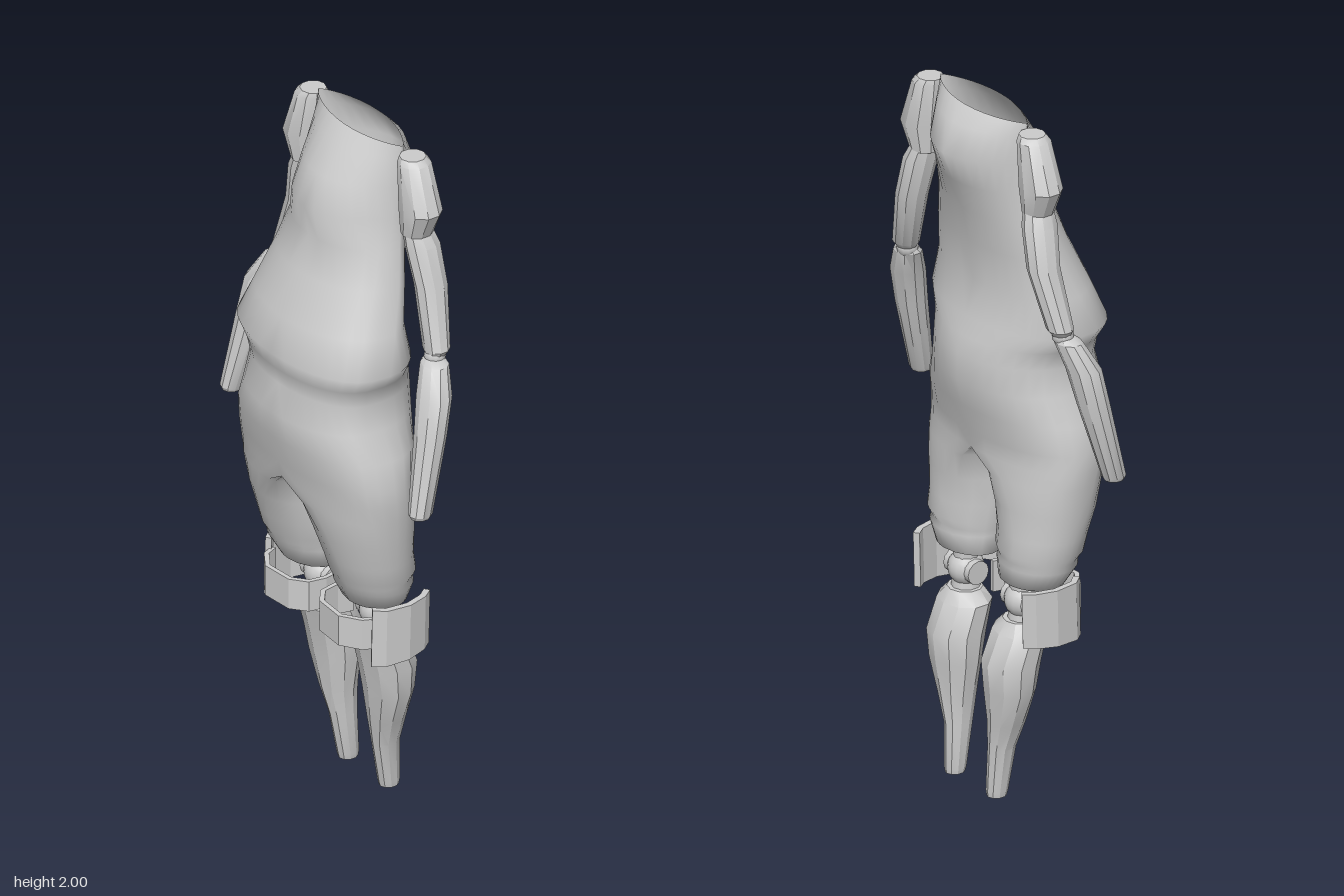
import * as THREE from 'three';
import { mergeVertices, mergeGeometries, toCreasedNormals } from 'three/addons/utils/BufferGeometryUtils.js';

const grey = new THREE.MeshStandardMaterial({ color: 0xcccccc, side: THREE.DoubleSide });

function addMesh(parent, name, geometry) {
  const mesh = new THREE.Mesh(geometry, grey);
  mesh.name = name;
  parent.add(mesh);
  return mesh;
}

// Skins rows of points; s = -1 mirrors across x = 0
function skin(rows, s, wrap, index = []) {
  const n = rows[0].length;
  const quads = wrap ? n : n - 1;
  for (let i = 0; i < rows.length - 1; i++) {
    for (let j = 0; j < quads; j++) {
      const k = (j + 1) % n;
      const [a, b, c, d] = [i * n + j, (i + 1) * n + j, (i + 1) * n + k, i * n + k];
      index.push(...(s > 0 ? [a, b, c, a, c, d] : [a, c, b, a, d, c]));
    }
  }
  const g = new THREE.BufferGeometry();
  g.setAttribute('position', new THREE.Float32BufferAttribute(rows.flat().flatMap(([x, y, z]) => [x * s, y, z]), 3));
  g.setIndex(index);
  return g;
}

// Low-poly closed limb from rings [x, y, z, radiusX, radiusZ], top to bottom
function limb(rings, s, sides = 10) {
  const ring = ([x, y, z, rx, rz]) => Array.from({ length: sides }, (_, j) => {
    const t = (j / sides) * Math.PI * 2;
    return [x + rx * Math.sin(t), y, z + rz * Math.cos(t)];
  });
  const collapse = ([x, y, z]) => [x, y, z, 0, 0];
  const all = [collapse(rings[0]), ...rings, collapse(rings[rings.length - 1])];
  return toCreasedNormals(skin(all.map(ring), s, true), 0.5);
}

// Half cross-sections of the torso: y, half width, front z, back z, widest z, front and back roundness
const torsoRows = [
  [2.0, 0.19, -0.025, -0.14, -0.08, 1.7, 1.7],
  [1.96, 0.19, 0.01, -0.18, -0.08, 1.6, 1.7],
  [1.88, 0.19, 0.065, -0.215, -0.08, 1.4, 1.7],
  [1.79, 0.19, 0.105, -0.18, -0.075, 1.2, 1.5],
  [1.7, 0.205, 0.09, -0.15, -0.06, 1.0, 1.3],
  [1.6, 0.23, 0.125, -0.13, -0.04, 0.9, 1.1],
  [1.48, 0.26, 0.18, -0.115, -0.005, 0.8, 1.0],
  [1.38, 0.29, 0.215, -0.14, 0.03, 0.75, 0.9],
  [1.33, 0.255, 0.2, -0.155, 0.03, 0.75, 0.9],
  [1.28, 0.245, 0.19, -0.168, 0.03, 0.75, 0.9],
  [1.2, 0.255, 0.213, -0.168, 0.03, 0.75, 0.9],
  [1.12, 0.295, 0.205, -0.15, 0.03, 0.75, 0.9],
  [1.04, 0.308, 0.188, -0.128, 0.03, 0.75, 0.9],
  [0.99, 0.31, 0.178, -0.122, 0.025, 0.75, 0.9],
];
// Leg sections add: x of the front and back line, inner x
const legRows = [
  [0.94, 0.305, 0.165, -0.118, 0.02, 0.8, 0.9, 0.08, 0.022],
  [0.86, 0.298, 0.143, -0.114, 0.015, 0.9, 0.95, 0.125, 0.015],
  [0.78, 0.283, 0.118, -0.112, 0.005, 1, 1, 0.145, 0.018],
  [0.73, 0.278, 0.103, -0.12, -0.005, 1, 1, 0.15, 0.022],
  [0.705, 0.262, 0.09, -0.108, -0.01, 1, 1, 0.147, 0.03],
  [0.69, 0.268, 0.088, -0.115, -0.012, 1, 1, 0.147, 0.028],
  [0.635, 0.238, 0.058, -0.105, -0.025, 1, 1, 0.14, 0.035],
  [0.645, 0.21, 0.035, -0.085, -0.03, 1, 1, 0.135, 0.06],
];

const M = 16, K = 8;
function section([y, w, zf, zb, zm, ef, eb, x0 = 0, xi = 0], withInner) {
  const points = [];
  const zAt = (c) => (c >= 0 ? zm + (zf - zm) * c ** ef : zm + (zb - zm) * (-c) ** eb);
  for (let j = 0; j <= M; j++) {
    const t = (j / M) * Math.PI;
    const sx = j === M ? 0 : Math.sin(t);
    points.push([x0 + (w - x0) * sx, y, zAt(Math.cos(t))]);
  }
  for (let j = 1; withInner && j < K; j++) {
    const t = (j / K) * Math.PI;
    points.push([x0 - (x0 - xi) * Math.sin(t), y, zAt(-Math.cos(t))]);
  }
  return points;
}

// Torso and thighs as one smooth skin, open at the neck line and at the knees
function bodyGeometry() {
  const parts = [];
  for (const s of [1, -1]) {
    parts.push(skin(torsoRows.map((r) => section(r, false)), s, false));
    const crotch = torsoRows[torsoRows.length - 1];
    parts.push(skin([crotch, ...legRows].map((r) => section(r, true)), s, true));
  }
  const g = mergeVertices(mergeGeometries(parts), 1e-4);
  g.computeVertexNormals();
  return g;
}

// Upright strip of plate following points [x, z], with thickness toward the leg
function strip(path, cx, cz, thickness, height, top, s) {
  const inner = path.map(([x, z]) => {
    const d = Math.hypot(x - cx, z - cz);
    return [x + ((cx - x) / d) * thickness, z + ((cz - z) / d) * thickness];
  }).reverse();
  const shape = new THREE.Shape([...path, ...inner].map(([x, z]) => new THREE.Vector2(x * s, z)));
  const g = new THREE.ExtrudeGeometry(shape, { depth: height, bevelEnabled: false });
  return g.rotateX(Math.PI / 2).translate(0, top, 0);
}

function createSide(s, label) {
  const side = new THREE.Group();
  side.name = label + 'Limbs';

  addMesh(side, 'shoulder', limb([
    [0.225, 1.985, -0.088, 0.036, 0.036],
    [0.232, 1.97, -0.088, 0.045, 0.046],
    [0.262, 1.84, -0.087, 0.064, 0.056],
    [0.248, 1.765, -0.085, 0.042, 0.045],
  ], s));
  addMesh(side, 'upperArm', limb([
    [0.245, 1.79, -0.085, 0.032, 0.04],
    [0.262, 1.735, -0.092, 0.044, 0.05],
    [0.29, 1.62, -0.1, 0.043, 0.046],
    [0.34, 1.455, -0.082, 0.039, 0.036],
    [0.342, 1.44, -0.078, 0.028, 0.028],
  ], s));
  const elbow = addMesh(side, 'elbow', new THREE.SphereGeometry(0.03, 12, 8));
  elbow.position.set(0.343 * s, 1.435, -0.075);
  addMesh(side, 'forearm', limb([
    [0.345, 1.432, -0.072, 0.03, 0.026],
    [0.354, 1.42, -0.066, 0.044, 0.036],
    [0.388, 1.345, -0.04, 0.052, 0.046],
    [0.402, 1.24, -0.018, 0.045, 0.044],
    [0.425, 1.025, 0.032, 0.031, 0.034],
    [0.425, 1.015, 0.033, 0.026, 0.028],
  ], s));

  // Knee joint: ball, side discs and a stem up into the thigh
  const knee = new THREE.Group();
  knee.name = 'kneeJoint';
  knee.position.set(0.125 * s, 0.57, -0.045);
  addMesh(knee, 'kneeBall', new THREE.SphereGeometry(0.05, 16, 12));
  for (const x of [-0.045, 0.045]) {
    addMesh(knee, 'kneeDisc', new THREE.CylinderGeometry(0.034, 0.034, 0.02, 12).rotateZ(Math.PI / 2)).position.x = x;
  }
  addMesh(knee, 'kneeStem', new THREE.CylinderGeometry(0.035, 0.035, 0.12, 10)).position.y = 0.07;
  addMesh(knee, 'kneeFoot', new THREE.CylinderGeometry(0.035, 0.045, 0.06, 10)).position.y = -0.05;
  side.add(knee);

  // Band around the front of the knee and the plate on its outer side
  addMesh(side, 'kneeBand', strip(
    [[0.025, -0.03], [0.016, 0.02], [0.026, 0.07], [0.07, 0.105], [0.165, 0.112], [0.222, 0.075], [0.238, 0.04]],
    0.125, -0.02, 0.014, 0.09, 0.618, s));
  const plate = strip([[0.242, 0.06], [0.268, 0.03], [0.278, -0.04], [0.262, -0.1], [0.24, -0.13]],
    0.1, -0.03, 0.018, 0.155, 0.65, s);
  const p = plate.attributes.position;
  for (let i = 0; i < p.count; i++) {
    // the plate leans back toward its lower edge and its back edge is shorter
    if (p.getY(i) < 0.55) p.setY(i, p.getY(i) + (0.06 - p.getZ(i)) * 0.06 - 0.015);
    else p.setZ(i, p.getZ(i) - 0.004);
  }
  plate.computeVertexNormals();
  addMesh(side, 'kneePlate', plate);

  addMesh(side, 'calf', limb([
    [0.123, 0.518, -0.05, 0.05, 0.048],
    [0.122, 0.485, -0.052, 0.082, 0.07],
    [0.121, 0.4, -0.08, 0.083, 0.078],
    [0.12, 0.32, -0.084, 0.078, 0.066],
    [0.109, 0.22, -0.086, 0.05, 0.053],
    [0.096, 0.14, -0.092, 0.033, 0.041],
    [0.092, 0.015, -0.105, 0.028, 0.031],
    [0.092, 0, -0.106, 0.025, 0.028],
  ], s));
  return side;
}

export function createModel() {
  const model = new THREE.Group();
  model.name = 'figure';
  addMesh(model, 'torsoAndThighs', bodyGeometry());
  model.add(createSide(1, 'left'), createSide(-1, 'right'));
  return model;
}
